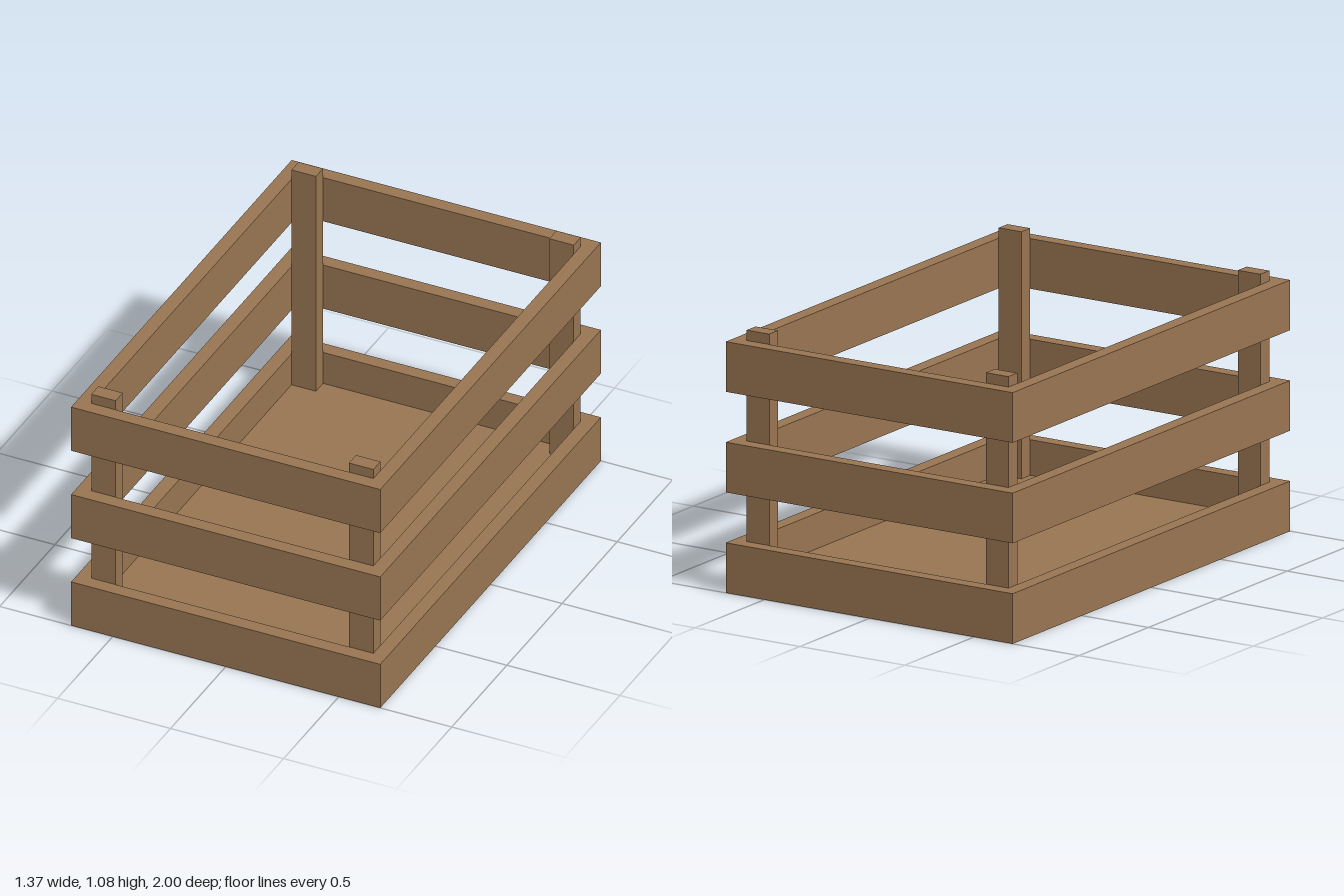
import * as THREE from 'three';

const HALF_W = 0.684, HALF_D = 1, WALL = 0.06, SLAT_H = 0.207;
const POST = { w: 0.108, h: 1.02, d: 0.064 };
const FLOOR_H = 0.06;

// Rectangular outline centred on the origin
function rect(PathType, hw, hd) {
  const p = new PathType();
  p.moveTo(-hw, -hd);
  p.lineTo(hw, -hd);
  p.lineTo(hw, hd);
  p.lineTo(-hw, hd);
  p.closePath();
  return p;
}

export function createModel() {
  const crate = new THREE.Group();
  crate.name = 'crate';
  const wood = new THREE.MeshStandardMaterial({ color: 0x997552 });
  wood.name = 'wood';

  const add = (name, geometry, x, y, z) => {
    const mesh = new THREE.Mesh(geometry, wood);
    mesh.name = name;
    mesh.position.set(x, y, z);
    crate.add(mesh);
  };

  const innerW = HALF_W - WALL, innerD = HALF_D - WALL;

  // Three bands of slats running around the crate
  const outline = rect(THREE.Shape, HALF_W, HALF_D);
  outline.holes.push(rect(THREE.Path, innerW, innerD));
  const band = new THREE.ExtrudeGeometry(outline, { depth: SLAT_H, bevelEnabled: false });
  band.rotateX(-Math.PI / 2);
  ['lowerSlats', 'middleSlats', 'upperSlats'].forEach((name, i) => add(name, band, 0, i * 0.415, 0));

  // Floor board
  add('floor', new THREE.BoxGeometry(innerW * 2, FLOOR_H, innerD * 2), 0, FLOOR_H / 2, 0);

  // Corner posts inside the slats, standing on the floor
  const post = new THREE.BoxGeometry(POST.w, POST.h, POST.d);
  for (const sx of [-1, 1]) {
    for (const sz of [-1, 1]) {
      const name = (sz > 0 ? 'front' : 'back') + (sx > 0 ? 'Left' : 'Right') + 'Post';
      add(name, post, sx * (innerW - POST.w / 2), FLOOR_H + POST.h / 2, sz * (innerD - POST.d / 2));
    }
  }

  return crate;
}
